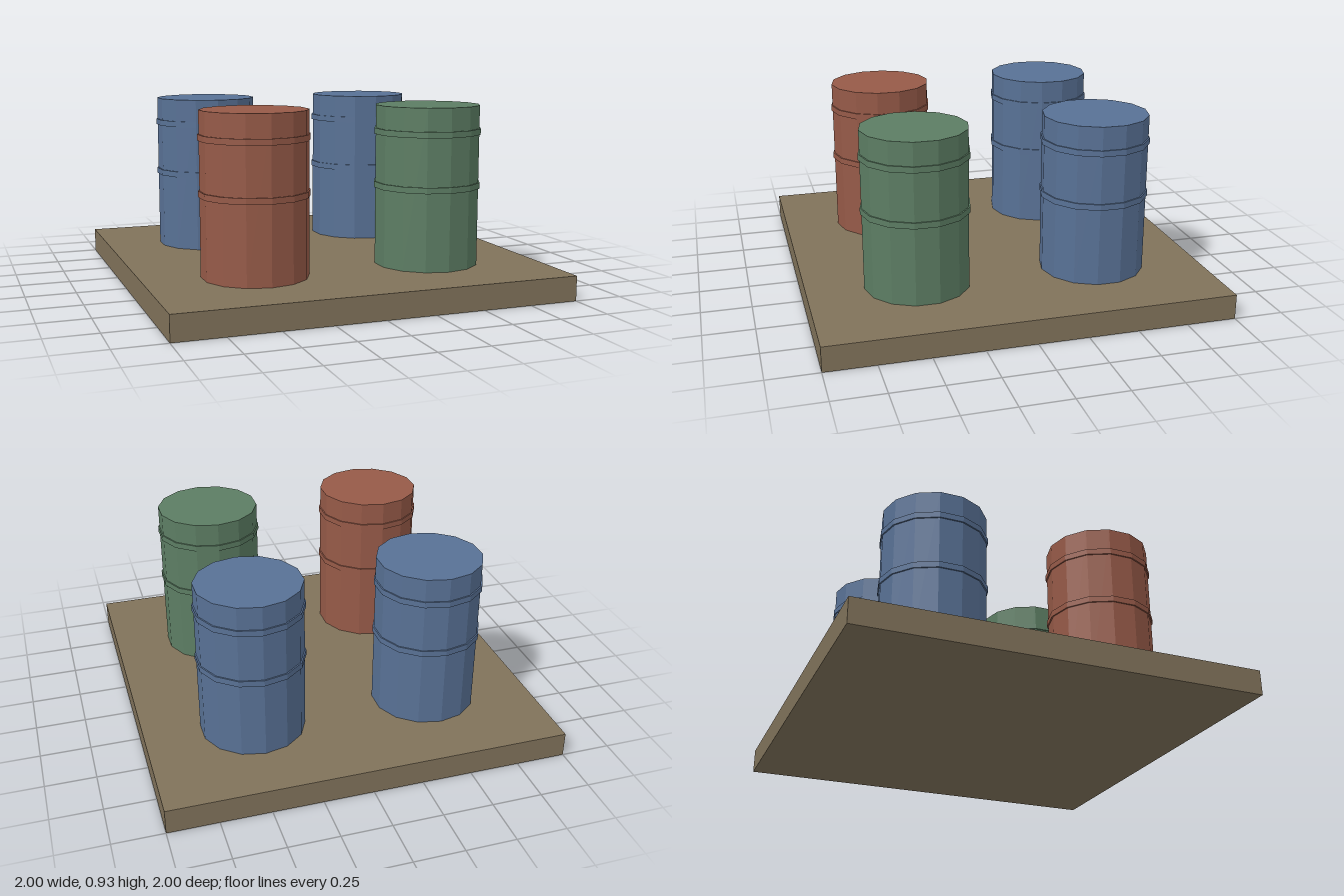
import * as THREE from 'three';

const material = (name, color) => {
  const m = new THREE.MeshStandardMaterial({ color, flatShading: true });
  m.name = name;
  return m;
};

export function createModel() {
  const model = new THREE.Group();
  model.name = 'barrelPallet';

  const brown = material('brown', 0x80725a);
  const red = material('red', 0x965a48);
  const green = material('green', 0x5c7d63);
  const blue = material('blue', 0x587195);

  const SIDES = 14;
  const BASE = 0.125;
  const HEIGHT = 0.805;

  // Flat square slab
  const slab = new THREE.Mesh(new THREE.BoxGeometry(2, BASE, 2), brown);
  slab.name = 'slab';
  slab.position.y = BASE / 2;
  model.add(slab);

  // Faceted barrel with two raised hoops
  const bodyGeometry = new THREE.CylinderGeometry(0.263, 0.263, HEIGHT, SIDES);
  const hoopGeometry = new THREE.CylinderGeometry(0.27, 0.27, 0.03, SIDES);
  function addBarrel(name, x, z, mat) {
    const barrel = new THREE.Group();
    barrel.name = name;
    const body = new THREE.Mesh(bodyGeometry, mat);
    body.name = 'body';
    body.position.y = BASE + HEIGHT / 2;
    barrel.add(body);
    for (const [hoopName, y] of [['lowerHoop', 0.53], ['upperHoop', 0.8]]) {
      const hoop = new THREE.Mesh(hoopGeometry, mat);
      hoop.name = hoopName;
      hoop.position.y = y;
      barrel.add(hoop);
    }
    barrel.position.set(x, 0, z);
    model.add(barrel);
  }

  const D = 0.455;
  addBarrel('frontRightBarrel', -D, D, red);
  addBarrel('frontLeftBarrel', D, D, green);
  addBarrel('backRightBarrel', -D, -D, blue);
  addBarrel('backLeftBarrel', D, -D, blue);

  return model;
}
